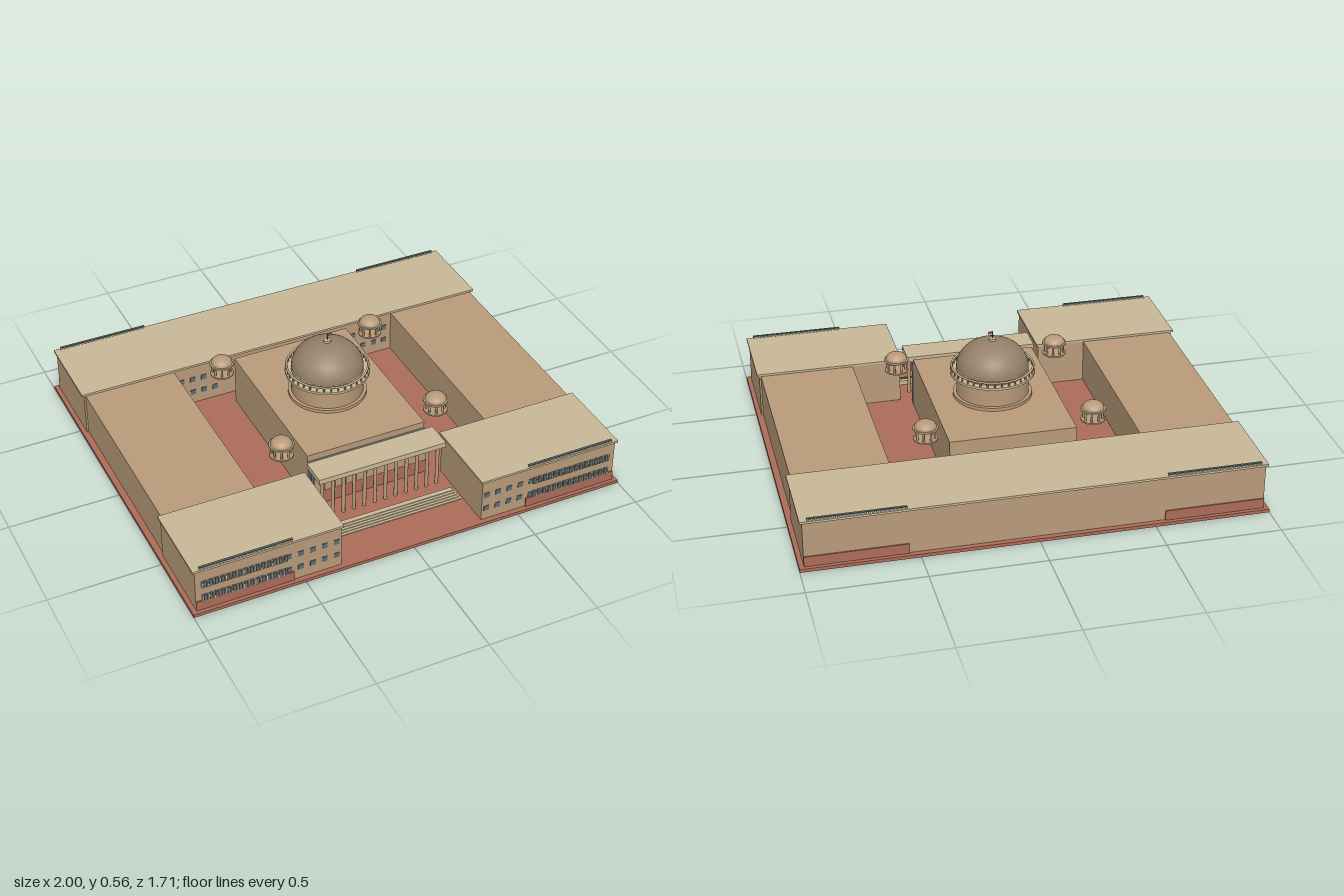
import * as THREE from 'three';

const mat = (name, color) => {
  const m = new THREE.MeshStandardMaterial({ color });
  m.name = name;
  return m;
};

export function createModel() {
  const model = new THREE.Group();
  model.name = 'domedPalace';
  const red = mat('redSandstone', 0xad6c5a);
  const tan = mat('tanSandstone', 0xb99b7a);
  const cream = mat('creamStone', 0xc8b898);
  const domeMat = mat('weatheredDome', 0x96816a);
  const slate = mat('slateGlass', 0x5f6d70);

  const add = (name, geo, material, x, y, z, parent = model) => {
    const mesh = new THREE.Mesh(geo, material);
    mesh.name = name;
    mesh.position.set(x, y, z);
    parent.add(mesh);
    return mesh;
  };
  // Box given by its limits on each axis
  const box = (name, material, x0, x1, y0, y1, z0, z1, parent = model) =>
    add(name, new THREE.BoxGeometry(x1 - x0, y1 - y0, z1 - z0), material,
      (x0 + x1) / 2, (y0 + y1) / 2, (z0 + z1) / 2, parent);
  const cyl = (name, material, r, y0, y1, x, z, parent = model, sides = 48) =>
    add(name, new THREE.CylinderGeometry(r, r, y1 - y0, sides), material, x, (y0 + y1) / 2, z, parent);
  const half = (name, material, r, h, x, y, z, parent = model) => {
    const g = new THREE.SphereGeometry(r, 48, 16, 0, Math.PI * 2, 0, Math.PI / 2);
    g.scale(1, h / r, 1);
    return add(name, g, material, x, y, z, parent);
  };

  // Ground slab
  box('groundSlab', red, -1, 1, 0, 0.015, -0.855, 0.855);

  // Back wing with its roof
  box('backWing', tan, -0.98, 0.98, 0.015, 0.217, -0.832, -0.463);
  box('backRoof', cream, -0.99, 0.99, 0.217, 0.227, -0.84, -0.457);

  // Parts mirrored left and right
  for (const s of [-1, 1]) {
    const span = (name, m, a, b, ...rest) => box(name, m, Math.min(s * a, s * b), Math.max(s * a, s * b), ...rest);
    span('frontWing', tan, 0.33, 0.98, 0.015, 0.217, 0.463, 0.832);
    span('frontRoof', cream, 0.322, 0.99, 0.217, 0.227, 0.457, 0.84);
    span('sideWing', tan, 0.55, 0.972, 0.015, 0.215, -0.463, 0.463);

    // Red plinths and roof balustrades on the outer facades
    for (const f of [-1, 1]) {
      const z = f * 0.834;
      span('redPlinth', red, 0.545, 0.98, 0.015, 0.06, z - 0.004, z + 0.004);
      const rz = f * 0.832;
      span('parapetRail', slate, 0.55, 0.96, 0.235, 0.239, rz - 0.005, rz + 0.005);
      for (let i = 0; i <= 24; i++) {
        const x = 0.555 + i * 0.0167;
        span('parapetPost', cream, x - 0.004, x + 0.004, 0.227, 0.235, rz - 0.003, rz + 0.003);
      }
    }

    // Two storeys of windows
    for (const y of [0.074, 0.145]) {
      for (let i = 0; i < 5; i++) {
        const x = 0.34 + i * 0.054;
        span('squareWindow', slate, x, x + 0.025, y - 0.012, y + 0.012, 0.831, 0.835);
        if (i < 4) span('courtWindow', slate, x, x + 0.025, y - 0.012, y + 0.012, -0.464, -0.46);
      }
      for (let i = 0; i < 15; i++) {
        const x = 0.575 + i * 0.0255;
        span('galleryWindow', slate, x, x + 0.013, y - 0.015, y + 0.015, 0.831, 0.84);
        span('galleryPier', cream, x + 0.015, x + 0.021, y - 0.015, y + 0.015, 0.831, 0.841);
      }
    }
  }

  // Central hall
  box('centralHall', tan, -0.28, 0.28, 0.015, 0.253, -0.393, 0.393);

  // Portico: glazed wall, piers, columns and roof
  box('porticoGlazing', slate, -0.28, 0.28, 0.015, 0.222, 0.393, 0.431);
  box('porticoPlinth', red, -0.28, 0.28, 0.015, 0.08, 0.431, 0.439);
  for (let i = 0; i < 11; i++) {
    const x = -0.25 + i * 0.05;
    box('porticoPier', tan, x - 0.019, x + 0.019, 0.08, 0.222, 0.431, 0.438);
  }
  for (let i = 0; i < 12; i++)
    cyl('porticoColumn', tan, 0.008, 0.015, 0.225, -0.275 + i * 0.05, 0.53, model, 12);
  box('porticoRoof', cream, -0.3, 0.3, 0.223, 0.247, 0.43, 0.556);

  // Entrance steps, wider toward the bottom
  for (let i = 0; i < 5; i++) {
    const w = 0.32 - i * 0.004;
    box('entranceStep', cream, -w, w, 0.015 + i * 0.004, 0.019 + i * 0.004, 0.605, 0.675 - i * 0.012);
  }

  // Main dome on its drum
  const dome = new THREE.Group();
  dome.name = 'mainDome';
  model.add(dome);
  cyl('drumBase', tan, 0.175, 0.253, 0.268, 0, 0, dome);
  cyl('drum', tan, 0.16, 0.268, 0.39, 0, 0, dome);
  cyl('gallery', cream, 0.188, 0.362, 0.373, 0, 0, dome);
  for (let i = 0; i < 36; i++) {
    const a = i / 36 * Math.PI * 2;
    cyl('galleryPost', tan, 0.004, 0.373, 0.392, 0.18 * Math.cos(a), 0.18 * Math.sin(a), dome, 6);
  }
  const rail = add('galleryRail', new THREE.TorusGeometry(0.18, 0.005, 6, 48), cream, 0, 0.394, 0, dome);
  rail.rotation.x = Math.PI / 2;
  half('domeShell', domeMat, 0.16, 0.127, 0, 0.387, 0, dome);
  cyl('finial', cream, 0.016, 0.51, 0.524, 0, 0, dome, 20);
  cyl('flagpole', slate, 0.002, 0.524, 0.557, 0, 0, dome, 6);
  box('flag', red, 0, 0.02, 0.543, 0.555, -0.001, 0.001, dome);

  // Four small domed kiosks
  for (const x of [-0.37, 0.37]) for (const z of [-0.325, 0.325]) {
    const kiosk = new THREE.Group();
    kiosk.name = 'kiosk';
    kiosk.position.set(x, 0, z);
    model.add(kiosk);
    cyl('kioskFloor', tan, 0.053, 0.245, 0.252, 0, 0, kiosk, 32);
    for (let i = 0; i < 8; i++) {
      const a = (i + 0.5) / 8 * Math.PI * 2;
      cyl('kioskColumn', tan, 0.005, 0.252, 0.296, 0.041 * Math.cos(a), 0.041 * Math.sin(a), kiosk, 8);
    }
    cyl('kioskEave', cream, 0.055, 0.296, 0.303, 0, 0, kiosk, 32);
    half('kioskDome', tan, 0.048, 0.031, 0, 0.303, 0, kiosk);
  }
  return model;
}
